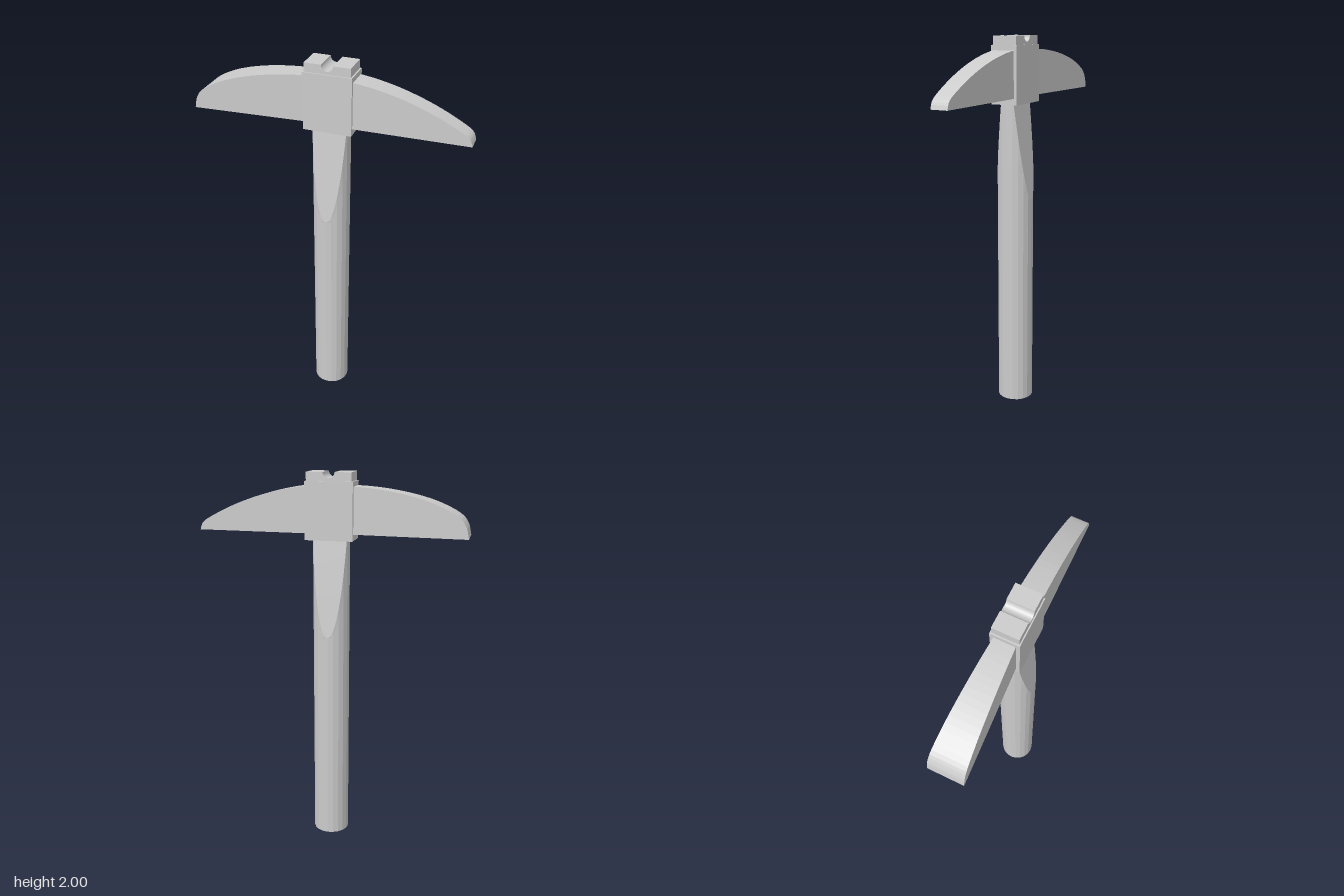
import * as THREE from 'three';

const steel = new THREE.MeshStandardMaterial({ color: 0xcccccc, flatShading: true });

function addMesh(parent, name, geometry) {
  const mesh = new THREE.Mesh(geometry, steel);
  mesh.name = name;
  parent.add(mesh);
  return mesh;
}

// Extrude a front-view shape, centred on z = 0
function slab(shape, depth, curveSegments = 3) {
  const g = new THREE.ExtrudeGeometry(shape, { depth, bevelEnabled: false, curveSegments });
  return g.translate(0, 0, -depth / 2);
}

// Round shaft whose front and back are planed to a wedge near the top
function handleGeometry() {
  const r = 0.096, cutY = 1.15, topY = 1.67, topZ = 0.036, half = 10, steps = 16;
  const ys = [0];
  for (let i = 0; i <= steps; i++) ys.push(cutY + (topY - cutY) * (i / steps) ** 1.5);
  const n = 2 * (half + 1), pos = [], idx = [];
  for (const y of ys) {
    const t = Math.max(0, (y - cutY) / (topY - cutY));
    const limit = Math.asin(Math.min(1, (r + (topZ - r) * t) / r));
    for (const side of [0, Math.PI]) {
      for (let k = 0; k <= half; k++) {
        const a = THREE.MathUtils.clamp(-Math.PI / 2 + Math.PI * k / half, -limit, limit) + side;
        pos.push(r * Math.cos(a), y, r * Math.sin(a));
      }
    }
  }
  for (let j = 0; j < ys.length - 1; j++) {
    for (let k = 0; k < n; k++) {
      const a = j * n + k, b = j * n + (k + 1) % n;
      idx.push(a, a + n, b, b, a + n, b + n);
    }
  }
  // End caps
  const last = (ys.length - 1) * n;
  for (let k = 1; k < n - 1; k++) {
    idx.push(0, k, k + 1, last, last + k + 1, last + k);
  }
  const g = new THREE.BufferGeometry();
  g.setAttribute('position', new THREE.Float32BufferAttribute(pos, 3));
  g.setIndex(idx);
  g.computeVertexNormals();
  return g;
}

// Curved blade whose half thickness runs linearly from root to tip
function bladeGeometry(crown, rootZ, tipZ) {
  const pts = crown.map(([x, y]) => new THREE.Vector2(x, y));
  const rootX = pts[0].x, tipX = pts[pts.length - 1].x;
  const shape = new THREE.Shape();
  shape.moveTo(rootX, 1.693);
  shape.lineTo(pts[0].x, pts[0].y);
  shape.splineThru(pts.slice(1));
  shape.closePath();
  const g = slab(shape, 2);
  const p = g.attributes.position;
  for (let i = 0; i < p.count; i++) {
    const t = (p.getX(i) - rootX) / (tipX - rootX);
    p.setZ(i, p.getZ(i) * THREE.MathUtils.lerp(rootZ, tipZ, t));
  }
  g.computeVertexNormals();
  return g;
}

export function createModel() {
  const model = new THREE.Group();
  model.name = 'pickaxe';
  addMesh(model, 'handle', handleGeometry());

  const head = new THREE.Group();
  head.name = 'head';
  model.add(head);

  // Collar around the top of the handle
  addMesh(head, 'collar', new THREE.BoxGeometry(0.25, 0.295, 0.144)).position.y = 1.8075;

  // Slightly smaller cap with a round groove from front to back
  const cap = new THREE.Shape();
  cap.moveTo(-0.117, 1.95);
  cap.lineTo(0.117, 1.95);
  cap.lineTo(0.117, 2);
  cap.lineTo(0.03, 2);
  cap.absarc(0, 2, 0.03, 0, -Math.PI, true);
  cap.lineTo(-0.117, 2);
  cap.closePath();
  addMesh(head, 'groovedCap', slab(cap, 0.132, 12));

  // Broad blade on one side, narrow pick on the other
  addMesh(head, 'broadBlade', bladeGeometry([
    [-0.11, 1.931], [-0.2, 1.926], [-0.32, 1.911], [-0.44, 1.886], [-0.55, 1.851],
    [-0.65, 1.8], [-0.69, 1.752], [-0.705, 1.693]], 0.052, 0.09));
  addMesh(head, 'narrowPick', bladeGeometry([
    [0.11, 1.931], [0.2, 1.919], [0.32, 1.893], [0.44, 1.855], [0.55, 1.81],
    [0.65, 1.759], [0.69, 1.73], [0.705, 1.693]], 0.058, 0.045));

  return model;
}
